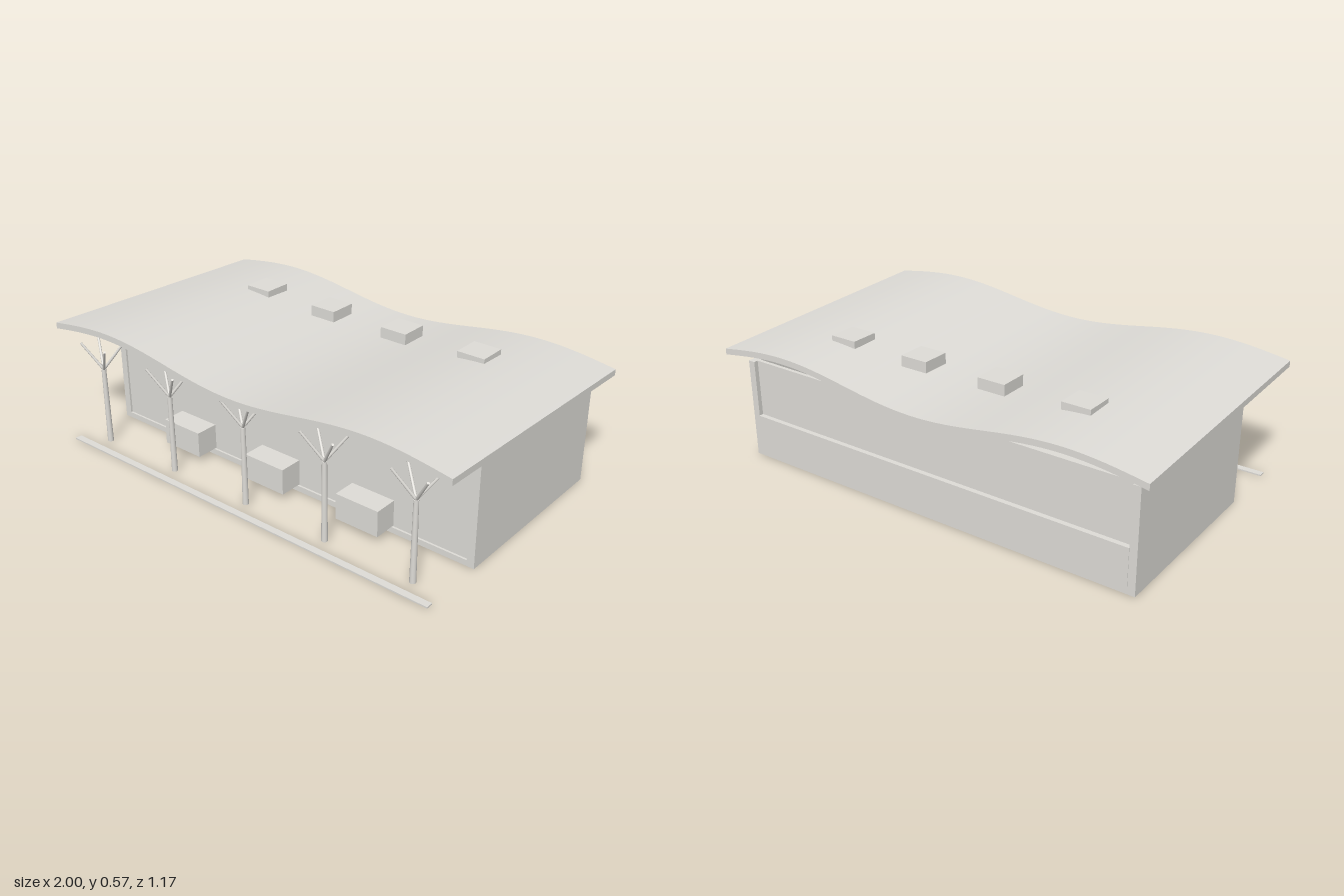
import * as THREE from 'three';

export function createModel() {
  const model = new THREE.Group();
  model.name = 'pavilion';
  const concrete = new THREE.MeshStandardMaterial({ color: 0xdedcd7 });
  concrete.name = 'warm grey';

  const add = (name, geometry, parent = model) => {
    const mesh = new THREE.Mesh(geometry, concrete);
    mesh.name = name;
    parent.add(mesh);
    return mesh;
  };
  // Box given by its extents on each axis
  const box = (name, [x0, x1], [y0, y1], [z0, z1]) => {
    const g = new THREE.BoxGeometry(x1 - x0, y1 - y0, z1 - z0);
    g.translate((x0 + x1) / 2, (y0 + y1) / 2, (z0 + z1) / 2);
    return add(name, g);
  };
  // Tapered rod between two points
  const rod = (name, a, b, r0, r1, parent) => {
    const dir = b.clone().sub(a);
    const mesh = add(name, new THREE.CylinderGeometry(r1, r0, dir.length(), 12), parent);
    mesh.position.copy(a).add(b).multiplyScalar(0.5);
    mesh.quaternion.setFromUnitVectors(new THREE.Vector3(0, 1, 0), dir.normalize());
  };

  // Hollow hall, open under the roof: side walls, floor, glazed front and back
  const H = 0.438, inner = [-0.906, 0.906];
  for (const s of [-1, 1]) {
    box('sideWall', s < 0 ? [-0.938, -0.906] : [0.906, 0.938], [0, H], [-0.521, 0.29]);
  }
  box('floorSlab', inner, [0, 0.025], [-0.521, 0.29]);
  box('frontGlazing', inner, [0.025, H], [0.265, 0.281]);
  box('rearGlazing', inner, [0.19, H], [-0.502, -0.486]);
  box('rearLowerWall', inner, [0.025, 0.19], [-0.523, -0.486]);
  box('entranceHeader', [-0.345, 0.345], [0.37, H], [0.281, 0.291]);

  // Block counters along the front
  for (const x of [-0.47, 0, 0.47]) {
    box('frontCounter', [x - 0.1, x + 0.1], [0.028, 0.14], [0.281, 0.383]);
  }

  // Wavy roof: a wave across x, sloping down towards the back
  const zFront = 0.571, zBack = -0.585, thick = 0.026;
  const wave = (x) => 0.535 - 0.035 * Math.cos(x * Math.PI * 1.5);
  const slope = (z) => (z - zFront) * 0.032;
  const roof = new THREE.BoxGeometry(2, thick, zFront - zBack, 48, 1, 1);
  const p = roof.attributes.position;
  for (let i = 0; i < p.count; i++) {
    const x = p.getX(i), z = p.getZ(i) + (zFront + zBack) / 2;
    p.setXYZ(i, x, p.getY(i) - thick / 2 + wave(x) + slope(z), z);
  }
  roof.computeVertexNormals();
  add('roof', roof);

  // Skylights, all level
  for (const x of [-0.5625, -0.1875, 0.1875, 0.5625]) {
    box('skylight', [x - 0.0625, x + 0.0625], [0.516, 0.563], [-0.336, -0.212]);
  }

  // Tree-like columns with four branches each
  for (let i = -2; i <= 2; i++) {
    const column = new THREE.Group();
    column.name = 'treeColumn';
    column.position.set(i * 0.406, 0, 0.493);
    model.add(column);
    const fork = new THREE.Vector3(0, 0.345, 0);
    rod('trunk', new THREE.Vector3(), fork, 0.013, 0.01, column);
    for (const sx of [-1, 1]) for (const sz of [-1, 1]) {
      rod('branch', fork, new THREE.Vector3(sx * 0.076, 0.462, sz * 0.047), 0.006, 0.005, column);
    }
  }

  // Low kerb in front
  box('kerb', [-0.938, 0.938], [0, 0.006], [0.555, 0.585]);

  return model;
}
